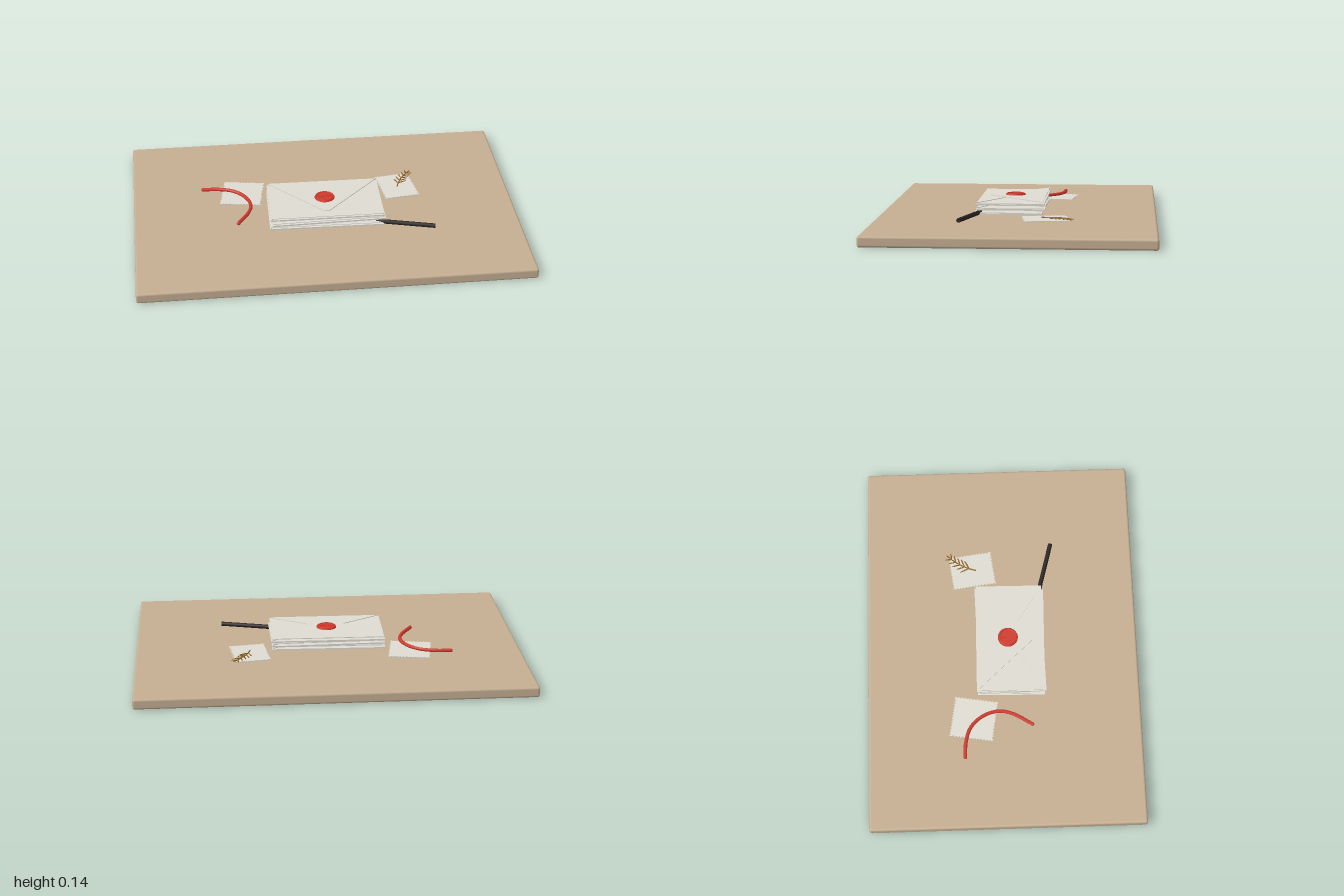
import * as THREE from 'three';
import { RoundedBoxGeometry } from 'three/addons/geometries/RoundedBoxGeometry.js';

const mat = (name, color) => Object.assign(new THREE.MeshStandardMaterial({ color }), { name });

export function createModel() {
  const root = new THREE.Group();
  root.name = 'letterDesk';
  const wood = mat('tan board', 0xc4ad91);
  const paper = mat('paper', 0xdedbd1);
  const red = mat('wax red', 0xcf3a2c);
  const dark = mat('dark pen', 0x2b2422);
  const gold = mat('dried sprig', 0x8f6427);

  const add = (parent, name, geo, m, x = 0, y = 0, z = 0, ry = 0) => {
    const mesh = new THREE.Mesh(geo, m);
    mesh.name = name;
    mesh.position.set(x, y, z);
    mesh.rotation.y = ry;
    parent.add(mesh);
    return mesh;
  };

  // Flat plate lying in xz, from [x, z] outline points, base at y = 0
  const plate = (pts, depth) => {
    const shape = new THREE.Shape(pts.map(([x, z]) => new THREE.Vector2(x, -z)));
    return new THREE.ExtrudeGeometry(shape, { depth, bevelEnabled: false }).rotateX(-Math.PI / 2);
  };

  // Board
  add(root, 'board', new RoundedBoxGeometry(2, 0.055, 1.42, 3, 0.012), wood, 0, 0.0275, 0);

  // Envelope: back panel, two side flaps, bottom flap and closing flap
  const W = 0.29, H = 0.17;
  function envelope(name, x, y, z, ry) {
    const g = new THREE.Group();
    g.name = name;
    g.position.set(x, y, z);
    g.rotation.y = ry;
    add(g, 'envelopeBody', new THREE.BoxGeometry(2 * W + 0.01, 0.008, 2 * H + 0.01), paper, 0, 0.004, 0);
    for (const s of [-1, 1]) {
      const pts = [[s * W, -H], [s * W, H], [s * 0.03, 0.01]];
      add(g, s < 0 ? 'rightFlap' : 'leftFlap', plate(pts, 0.003), paper, 0, 0.0082, 0);
    }
    add(g, 'bottomFlap', plate([[-W, H], [W, H], [0.02, 0.01], [-0.02, 0.01]], 0.003), paper, 0, 0.0115, 0);
    add(g, 'topFlap', plate([[-W, -H], [W, -H], [0.012, 0.125], [-0.012, 0.125]], 0.004), paper, 0, 0.0165, 0);
    root.add(g);
  }
  envelope('lowerEnvelope', -0.004, 0.058, 0.045, -0.022);
  envelope('middleEnvelope', 0.003, 0.082, 0.04, 0.02);
  envelope('upperEnvelope', 0, 0.106, 0.036, -0.012);

  // Wax seal with a pressed cross
  const seal = new THREE.Group();
  seal.name = 'waxSeal';
  seal.position.set(0, 0.1265, 0.028);
  add(seal, 'sealDisc', new THREE.CylinderGeometry(0.05, 0.053, 0.006, 20), red, 0, 0.003, 0);
  add(seal, 'sealRim', new THREE.TorusGeometry(0.044, 0.003, 6, 20).rotateX(Math.PI / 2), red, 0, 0.006, 0);
  add(seal, 'sealBar', new THREE.BoxGeometry(0.08, 0.003, 0.004), red, 0, 0.007, 0);
  add(seal, 'sealBar', new THREE.BoxGeometry(0.004, 0.003, 0.08), red, 0, 0.007, 0);
  root.add(seal);

  // Stamps with perforated edges
  function stamp(name, w, h, x, z, ry) {
    const pts = [], n = 14, d = 0.005;
    const corners = [[-w / 2, -h / 2], [w / 2, -h / 2], [w / 2, h / 2], [-w / 2, h / 2]];
    corners.forEach(([ax, az], i) => {
      const [bx, bz] = corners[(i + 1) % 4];
      const len = Math.hypot(bx - ax, bz - az), nx = -(bz - az) / len, nz = (bx - ax) / len;
      for (let k = 0; k < n; k++) {
        for (const [o, cut] of [[0, 0], [0.5, 0], [0.55, d], [0.95, d]]) {
          const t = (k + o) / n, c = k === n - 1 ? 0 : cut;
          pts.push([ax + (bx - ax) * t + nx * c, az + (bz - az) * t + nz * c]);
        }
      }
    });
    add(root, name, plate(pts, 0.005), paper, x, 0.056, z, ry);
  }
  stamp('rightStamp', 0.215, 0.225, -0.4225, -0.1625, -0.165);
  stamp('leftStamp', 0.185, 0.229, 0.411, -0.15, 0.13);

  // Red cord curling over a stamp
  const cord = new THREE.CatmullRomCurve3([
    [-0.63, -0.212], [-0.55, -0.207], [-0.47, -0.18], [-0.41, -0.115], [-0.386, -0.03], [-0.402, 0.04], [-0.462, 0.142],
  ].map(([x, z]) => new THREE.Vector3(x, 0.067, z)));
  add(root, 'cord', new THREE.TubeGeometry(cord, 48, 0.0095, 8), red);
  for (const t of [0, 1]) {
    const p = cord.getPointAt(t);
    add(root, 'cordEnd', new THREE.SphereGeometry(0.0095, 8, 6), red, p.x, p.y, p.z);
  }

  // Pen leaning out from under the stack
  add(root, 'pen', new THREE.CylinderGeometry(0.0115, 0.0115, 0.31, 12).rotateZ(Math.PI / 2), dark, 0.4, 0.067, 0.235, -0.265);

  // Dried sprig: curved stem with paired slender leaves
  const stem = new THREE.QuadraticBezierCurve3(
    new THREE.Vector3(0.41, 0.066, -0.13), new THREE.Vector3(0.43, 0.068, -0.215), new THREE.Vector3(0.5, 0.068, -0.285));
  add(root, 'sprigStem', new THREE.TubeGeometry(stem, 16, 0.0032, 6), gold);
  for (let i = 0; i < 5; i++) {
    const p = stem.getPoint(0.22 + i * 0.15), t = stem.getTangent(0.22 + i * 0.15);
    for (const s of [-1, 1]) {
      const a = Math.atan2(-t.z, t.x) + s * 0.75, len = 0.052 - i * 0.004;
      const leaf = new THREE.SphereGeometry(1, 8, 6).scale(len / 2, 0.0025, 0.004).translate(len / 2, 0, 0);
      add(root, 'sprigLeaf', leaf, gold, p.x, p.y, p.z, a);
    }
  }
  return root;
}
